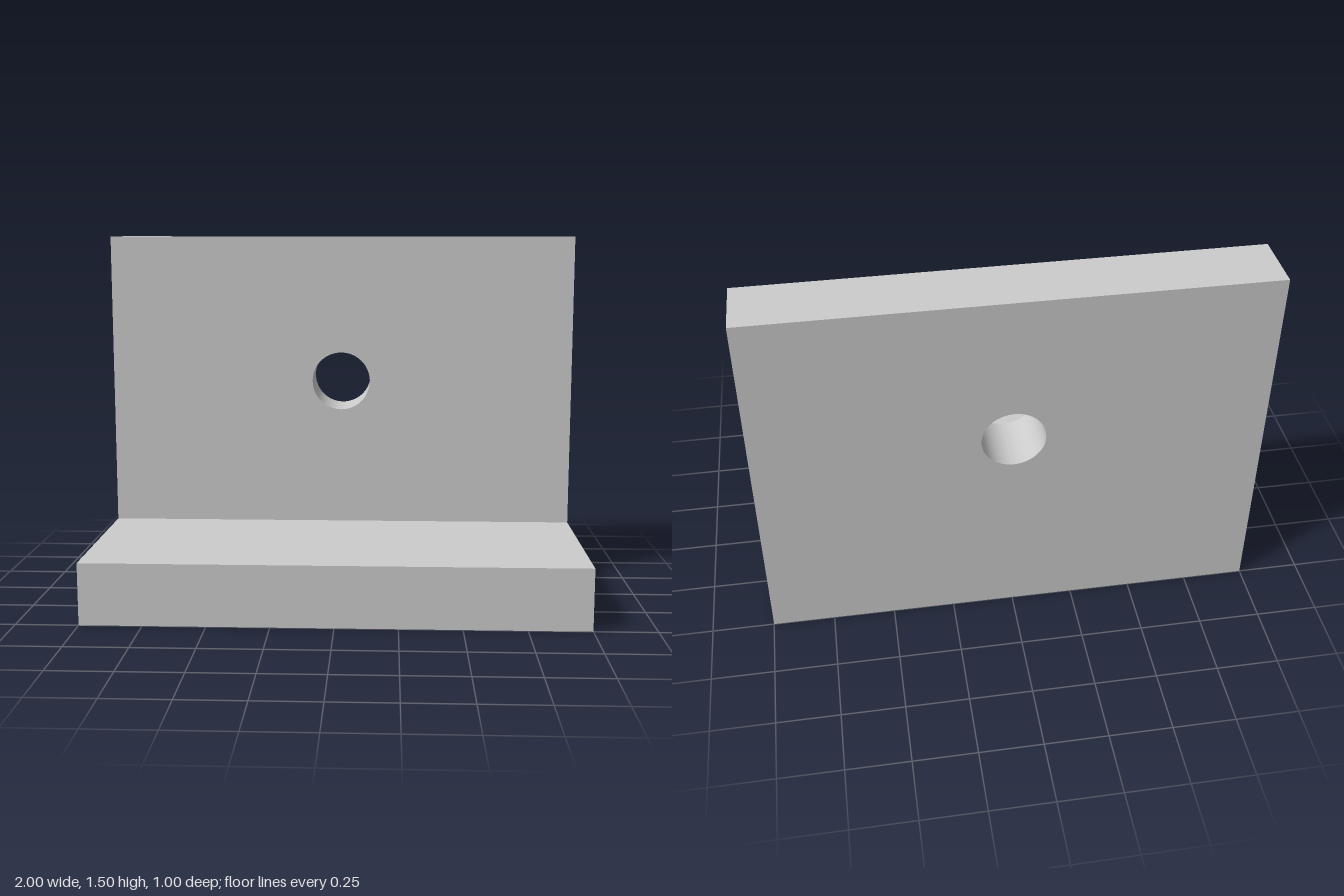
import * as THREE from 'three';
import { toCreasedNormals } from 'three/addons/utils/BufferGeometryUtils.js';

const WIDTH = 2, HEIGHT = 1.5, DEPTH = 1, THICK = 0.25;
const HOLE_Y = 0.875, HOLE_RADIUS = 0.125;

export function createModel() {
  const group = new THREE.Group();
  group.name = 'angleBracket';
  const material = new THREE.MeshStandardMaterial({ color: 0xcccccc });

  // Upright plate at the back, full height, with a round through-hole
  const outline = new THREE.Shape();
  outline.moveTo(-WIDTH / 2, 0);
  outline.lineTo(WIDTH / 2, 0);
  outline.lineTo(WIDTH / 2, HEIGHT);
  outline.lineTo(-WIDTH / 2, HEIGHT);
  outline.closePath();
  const hole = new THREE.Path();
  hole.absarc(0, HOLE_Y, HOLE_RADIUS, 0, Math.PI * 2, true);
  outline.holes.push(hole);
  const plateGeometry = new THREE.ExtrudeGeometry(outline, {
    depth: THICK, bevelEnabled: false, curveSegments: 64,
  });
  // Smooth hole wall, sharp plate edges
  const plate = new THREE.Mesh(toCreasedNormals(plateGeometry, 0.5), material);
  plate.name = 'uprightPlate';
  plate.position.z = -DEPTH / 2;
  group.add(plate);

  // Foot reaching forward from the plate
  const footDepth = DEPTH - THICK;
  const foot = new THREE.Mesh(new THREE.BoxGeometry(WIDTH, THICK, footDepth), material);
  foot.name = 'foot';
  foot.position.set(0, THICK / 2, DEPTH / 2 - footDepth / 2);
  group.add(foot);

  return group;
}
